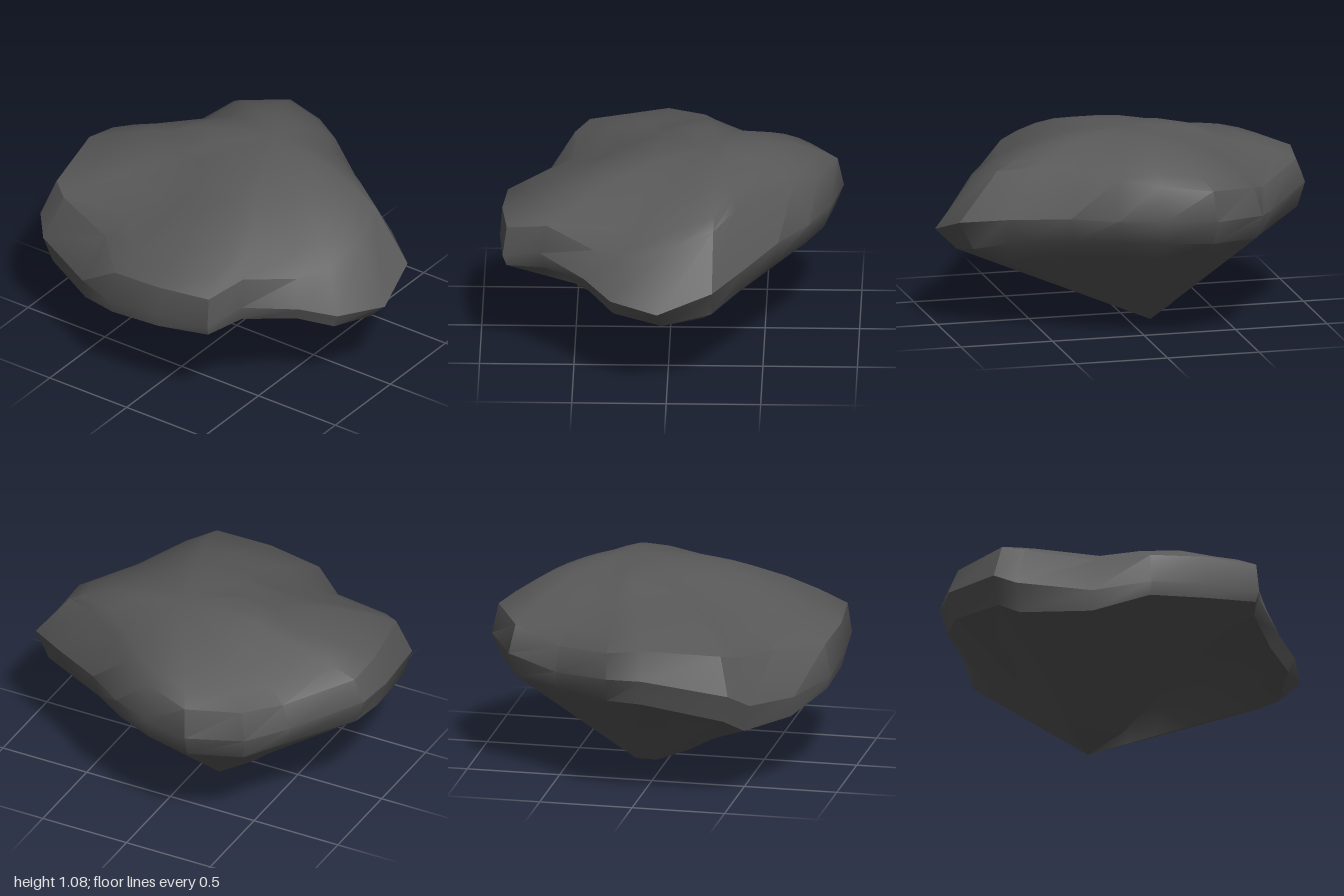
import * as THREE from 'three';
import { toCreasedNormals } from 'three/addons/utils/BufferGeometryUtils.js';

// Rim columns running round the boulder: x, z, underside edge (y, scale), widest y, upper edge (y, scale)
const rim = [
  [1.0, 0.05, 0.4, 0.9, 0.51, 0.81, 0.79], [0.87, 0.3, 0.45, 0.97, 0.53, 0.75, 0.86],
  [0.72, 0.44, 0.51, 0.96, 0.59, 0.74, 0.93], [0.52, 0.68, 0.56, 0.97, 0.65, 0.8, 0.96],
  [0.44, 0.88, 0.54, 0.98, 0.6, 0.76, 0.98], [0.13, 0.9, 0.5, 0.99, 0.58, 0.74, 0.99],
  [-0.18, 0.9, 0.47, 0.98, 0.54, 0.71, 0.97], [-0.46, 0.76, 0.39, 0.98, 0.5, 0.74, 0.88],
  [-0.83, 0.6, 0.4, 0.95, 0.55, 0.79, 0.91], [-0.92, 0.5, 0.47, 0.95, 0.62, 0.82, 0.93],
  [-1.0, 0.05, 0.56, 0.95, 0.7, 0.85, 0.94], [-0.97, -0.15, 0.56, 0.95, 0.69, 0.82, 0.95],
  [-0.7, -0.48, 0.53, 0.96, 0.63, 0.76, 0.94], [-0.58, -0.76, 0.55, 0.94, 0.68, 0.83, 0.94],
  [-0.3, -0.91, 0.57, 0.93, 0.7, 0.86, 0.95], [-0.03, -0.85, 0.57, 0.94, 0.7, 0.88, 0.89],
  [0.2, -0.74, 0.57, 0.95, 0.69, 0.9, 0.82], [0.42, -0.58, 0.55, 0.95, 0.68, 0.92, 0.74],
  [0.72, -0.4, 0.52, 0.95, 0.65, 0.92, 0.73], [0.94, -0.24, 0.46, 0.93, 0.61, 0.88, 0.77],
];
const foot = [-0.12, 0, -0.17];
const peak = [0.05, 1.08, -0.25];

const mix = (a, b, t) => a + (b - a) * t;

// Tapering underside, t = 0 at the foot and 1 at the rim
function underside([x, z, yLow, scale], t) {
  const s = t * scale;
  let y = yLow * t;
  if (x > 0.5 && z > 0.2) y += 0.5 * t * (1 - t); // hollow below the notch
  else if (z > 0.4) y *= Math.min(1, 0.15 + 1.75 * t); // blunt keel towards the front
  return [mix(foot[0], x, s), y, mix(foot[2], z, s)];
}

// Domed top, t = 1 at the rim and 0 at the peak
function dome([x, z, , , , yHigh, scale], t) {
  const s = t * scale;
  const p = [mix(peak[0], x, s), mix(peak[1], yHigh, Math.pow(t, 2.15)), mix(peak[2], z, s)];
  // shallow step running across the top, fading out towards the rim
  if (p[0] - p[2] * 0.62 < -0.29) p[1] -= 0.07 * (1 - t);
  return p;
}

function boulderGeometry() {
  const rings = [
    ...[0.2, 0.35, 0.55, 0.8, 1].map(t => rim.map(c => underside(c, t))),
    rim.map(([x, z, , , yMid]) => [x, yMid, z]),
    ...[1, 0.87, 0.72, 0.57, 0.42, 0.27, 0.13].map(t => rim.map(c => dome(c, t))),
  ];
  const n = rim.length;
  const points = [...rings.flat(), foot, peak];
  const footId = points.length - 2, peakId = points.length - 1;
  const last = (rings.length - 1) * n;
  const index = [];
  for (let c = 0; c < n; c++) {
    const d = (c + 1) % n;
    index.push(footId, c, d, peakId, last + d, last + c);
    for (let r = 0; r < rings.length - 1; r++) {
      const lo = r * n, hi = lo + n;
      index.push(lo + c, hi + c, lo + d, lo + d, hi + c, hi + d);
    }
  }
  const g = new THREE.BufferGeometry();
  g.setAttribute('position', new THREE.Float32BufferAttribute(points.flat(), 3));
  g.setIndex(index);
  return toCreasedNormals(g, 0.65);
}

export function createModel() {
  const group = new THREE.Group();
  group.name = 'rock';
  const boulder = new THREE.Mesh(boulderGeometry(), new THREE.MeshStandardMaterial({ color: 0x585858 }));
  boulder.name = 'boulder';
  group.add(boulder);
  return group;
}
